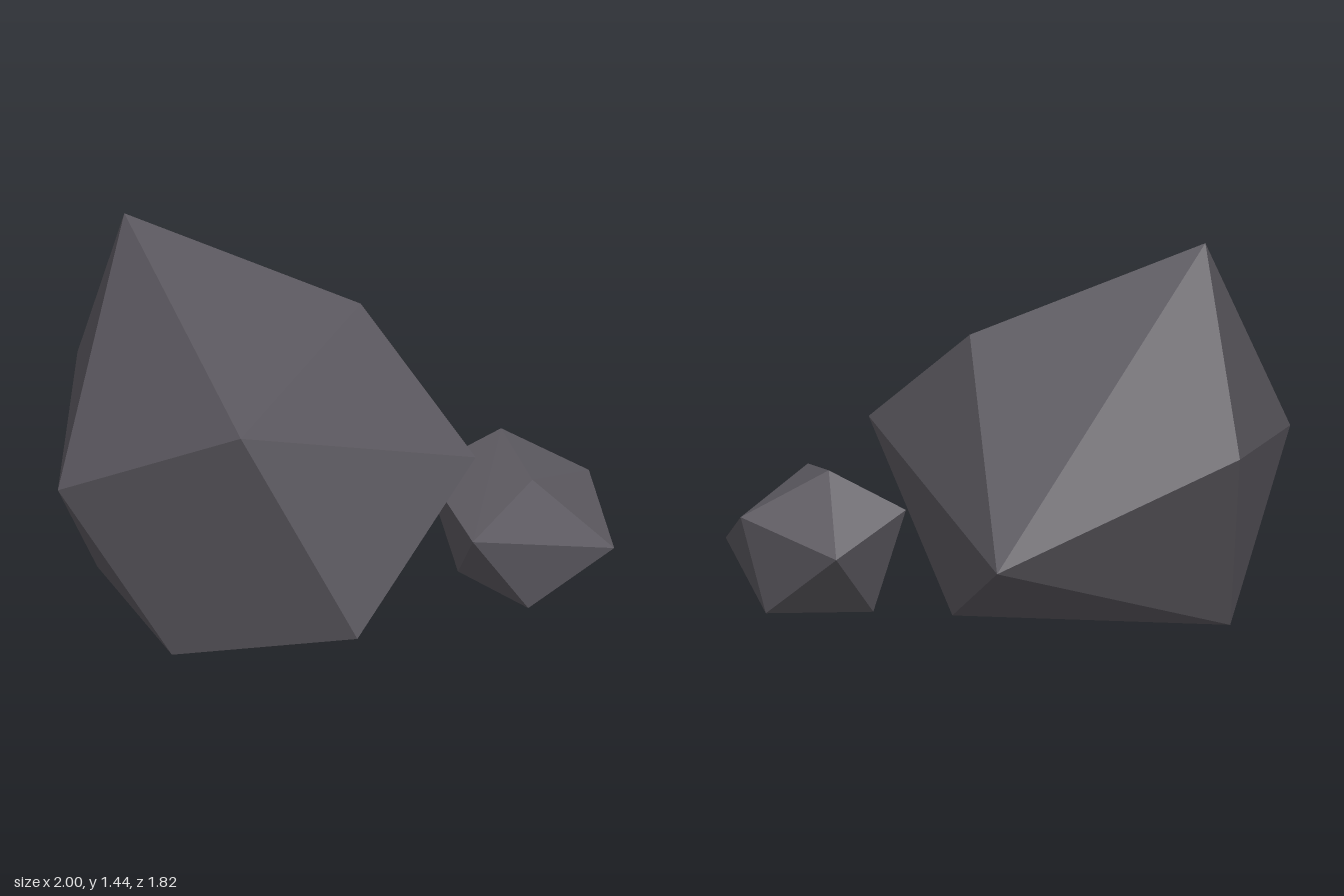
import * as THREE from 'three';
import { ConvexGeometry } from 'three/addons/geometries/ConvexGeometry.js';

const stone = new THREE.MeshStandardMaterial({ color: 0x5b585f, flatShading: true });
stone.name = 'darkStone';

// A faceted rock is the convex hull of a few corner points.
function rock(name, corners) {
  const points = corners.map(([x, y, z]) => new THREE.Vector3(x, y, z));
  const mesh = new THREE.Mesh(new ConvexGeometry(points), stone);
  mesh.name = name;
  return mesh;
}

export function createModel() {
  const group = new THREE.Group();
  group.name = 'rocks';

  group.add(rock('largeRock', [
    // peak and upper shoulders
    [-0.42, 1.44, -0.49], [-0.78, 1.005, 0.665], [0.28, 1.07, 0.035],
    // widest corners
    [0.345, 0.635, 0.64], [-0.42, 0.19, 0.905], [-1.0, 0.59, -0.15],
    [-0.31, 0.72, -0.91], [0.53, 0.32, -0.56],
    // flat base
    [-0.77, 0, 0.24], [0.34, 0, 0.06], [-0.46, 0, -0.6],
  ]));

  group.add(rock('smallRock', [
    // top corners
    [0.6, 0.485, 0.655], [0.72, 0.55, 0.315], [0.48, 0.4, 0.16],
    // widest corners
    [0.3, 0.32, 0.68], [0.995, 0.37, 0.49], [0.855, 0.2, 0.82], [0.805, 0.26, 0.125],
    // flat base
    [0.545, 0, 0.7], [0.91, 0, 0.45], [0.56, 0, 0.26],
  ]));

  return group;
}
